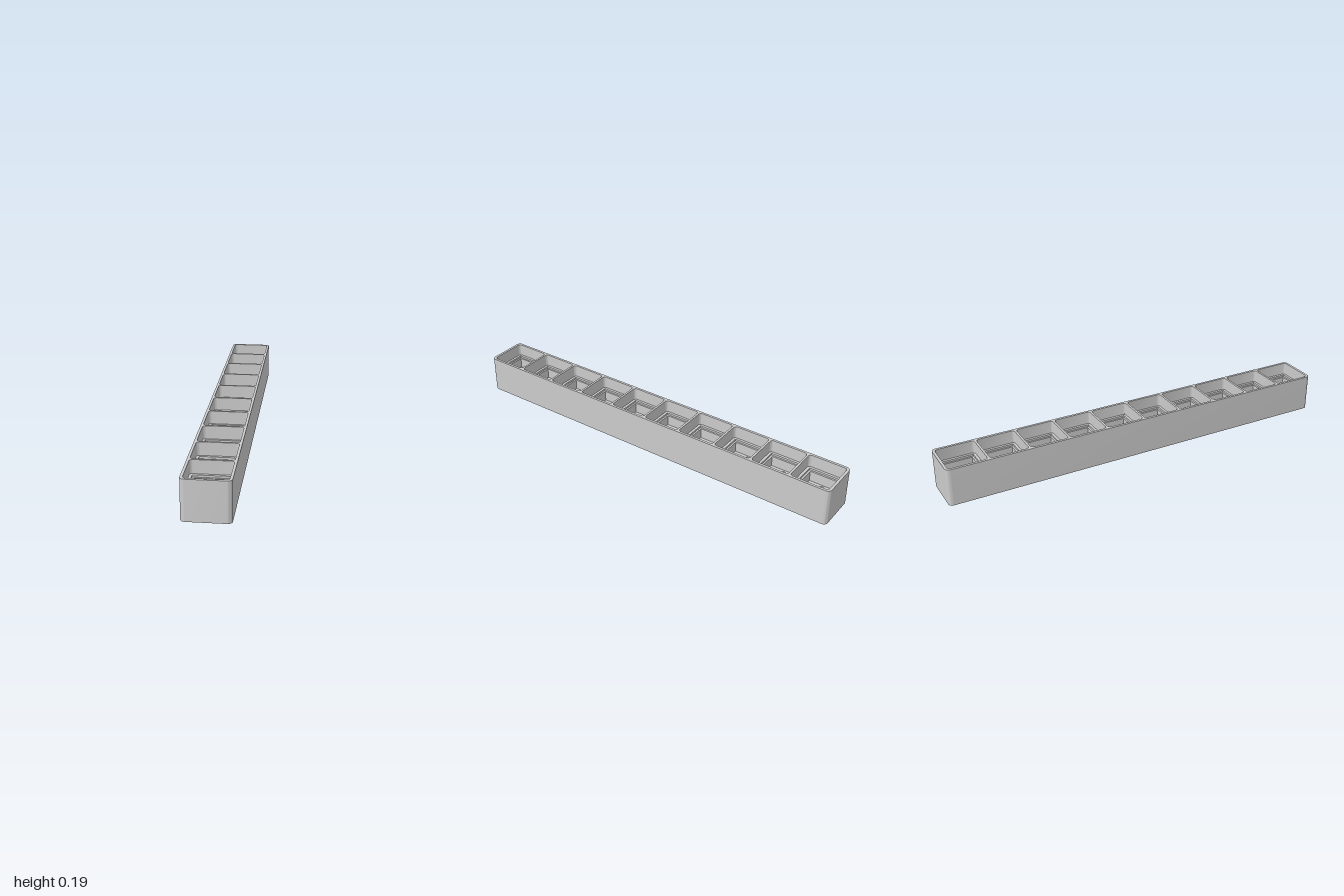
import * as THREE from 'three';
import { mergeGeometries, toCreasedNormals } from 'three/addons/utils/BufferGeometryUtils.js';

const COUNT = 10, PITCH = 0.1985;
const WIDTH = 0.212, LENGTH = 2, HEIGHT = 0.185;
// Heights of the horizontal surfaces inside each cell
const LEDGE = 0.122, SEAT = 0.112, FLOOR = 0.06, HOLE_BOTTOM = 0.025;

// Outlines are counter-clockwise point loops; outline y points to -z
function roundedRect(w, d, r, cx = 0, cy = 0) {
  const s = new THREE.Shape();
  const x = w / 2 - r, y = d / 2 - r;
  s.absarc(cx + x, cy - y, r, -Math.PI / 2, 0);
  s.absarc(cx + x, cy + y, r, 0, Math.PI / 2);
  s.absarc(cx - x, cy + y, r, Math.PI / 2, Math.PI);
  s.absarc(cx - x, cy - y, r, Math.PI, Math.PI * 1.5);
  return s.getPoints(5);
}

function rect(w, cx, cy) {
  return [[-1, -1], [1, -1], [1, 1], [-1, 1]].map(([a, b]) => new THREE.Vector2(cx + a * w / 2, cy + b * w / 2));
}

function circle(r, cx, cy) {
  return Array.from({ length: 32 }, (_, i) => {
    const a = i / 32 * Math.PI * 2;
    return new THREE.Vector2(cx + r * Math.cos(a), cy + r * Math.sin(a));
  });
}

// Flat face at a height, with holes, facing up or down
function face(loop, holes, y, up = true) {
  const s = new THREE.Shape(loop);
  s.holes = holes.map((h) => new THREE.Path(h));
  const g = new THREE.ShapeGeometry(s).rotateX(up ? -Math.PI / 2 : Math.PI / 2).translate(0, y, 0).toNonIndexed();
  g.deleteAttribute('uv');
  return g;
}

// Vertical wall along a loop, facing out of the loop or into it
function wall(loop, y0, y1, inward = true) {
  const pos = [];
  loop.forEach((p, i) => {
    const q = loop[(i + 1) % loop.length];
    if (p.distanceTo(q) < 1e-6) return;
    const [a, b] = inward ? [q, p] : [p, q];
    pos.push(a.x, y0, -a.y, b.x, y0, -b.y, b.x, y1, -b.y);
    pos.push(a.x, y0, -a.y, b.x, y1, -b.y, a.x, y1, -a.y);
  });
  const g = new THREE.BufferGeometry();
  g.setAttribute('position', new THREE.Float32BufferAttribute(pos, 3));
  g.computeVertexNormals();
  return toCreasedNormals(g, Math.PI / 6);
}

export function createModel() {
  const group = new THREE.Group();
  const material = new THREE.MeshStandardMaterial({ color: 0xcccccc });
  const add = (name, parts) => {
    const mesh = new THREE.Mesh(mergeGeometries(parts), material);
    mesh.name = name;
    group.add(mesh);
  };

  const outer = roundedRect(WIDTH, LENGTH, 0.021);
  const pockets = [];

  for (let i = 0; i < COUNT; i++) {
    const cy = (i - (COUNT - 1) / 2) * PITCH;
    const pocket = roundedRect(0.188, 0.188, 0.014, 0, cy);
    const seat = rect(0.163, 0, cy);
    const well = rect(0.146, 0, cy);
    // Centre post hole, two side peg holes, two pin holes
    const holes = [
      [0.025, 0, 0], [0.012, -0.053, 0], [0.012, 0.053, 0],
      [0.011, -0.04, 0.0265], [0.011, 0.0265, 0.053],
    ].map(([r, x, y]) => circle(r, x, cy + y));
    pockets.push(pocket);

    // Stepped pocket
    add(`pocket${i + 1}`, [
      wall(pocket, LEDGE, HEIGHT), face(pocket, [seat], LEDGE),
      wall(seat, SEAT, LEDGE), face(seat, [well], SEAT),
      wall(well, FLOOR, SEAT), face(well, holes, FLOOR),
    ]);
    // Blind holes in the pocket floor
    add(`pinHoles${i + 1}`, holes.flatMap((h) => [wall(h, HOLE_BOTTOM, FLOOR), face(h, [], HOLE_BOTTOM)]));
  }

  // Outer body: sides, underside and rim
  add('body', [
    wall(outer, 0, HEIGHT, false),
    face(outer, [], 0, false),
    face(outer, pockets, HEIGHT),
  ]);
  return group;
}
